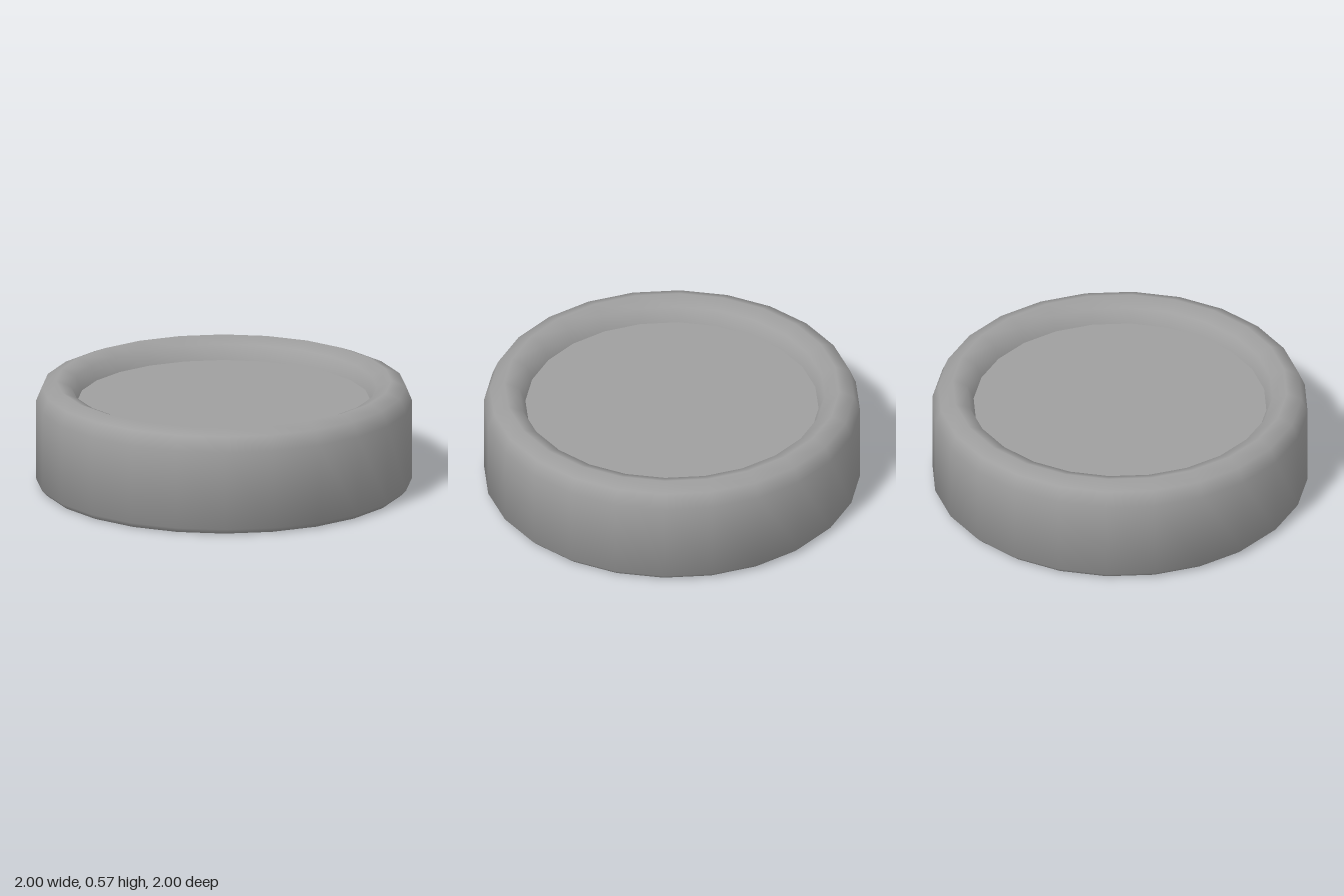
import * as THREE from 'three';

const SEGMENTS = 24;

// Lathe whose normals blend neighbouring bands equally, whatever their length
function softLathe(profile) {
  const geometry = new THREE.LatheGeometry(profile, SEGMENTS);
  const bands = profile.slice(1).map((p, j) => {
    const d = p.clone().sub(profile[j]).normalize();
    return new THREE.Vector2(d.y, -d.x);
  });
  const blended = profile.map((_, j) =>
    (bands[j - 1] ?? bands[j]).clone().add(bands[j] ?? bands[j - 1]).normalize());
  blended[0].set(0, -1);
  const normal = geometry.attributes.normal;
  for (let i = 0; i < normal.count; i++) {
    const phi = (Math.floor(i / profile.length) / SEGMENTS) * Math.PI * 2;
    const n = blended[i % profile.length];
    normal.setXYZ(i, n.x * Math.sin(phi), n.y, n.x * Math.cos(phi));
  }
  return geometry;
}

export function createModel() {
  const group = new THREE.Group();
  const material = new THREE.MeshStandardMaterial({ color: 0x9f9f9f });

  // Body profile: closed base, small bottom bevel, straight wall
  const profile = [[0, 0], [0.97, 0], [1, 0.03]].map(([x, y]) => new THREE.Vector2(x, y));

  // Rounded rim: half circle of four steps, outside to inside
  const rimRadius = 0.11, rimCentre = 0.89, rimY = 0.456;
  for (let i = 0; i <= 4; i++) {
    const a = (i / 4) * Math.PI;
    profile.push(new THREE.Vector2(rimCentre + rimRadius * Math.cos(a), rimY + rimRadius * Math.sin(a)));
  }
  const body = new THREE.Mesh(softLathe(profile), material);
  body.name = 'body';
  group.add(body);

  // Flat recessed top inside the rim
  const disc = new THREE.CircleGeometry(rimCentre - rimRadius, SEGMENTS);
  disc.rotateX(-Math.PI / 2);
  const top = new THREE.Mesh(disc, material);
  top.name = 'recessedTop';
  top.position.y = rimY;
  group.add(top);

  return group;
}
